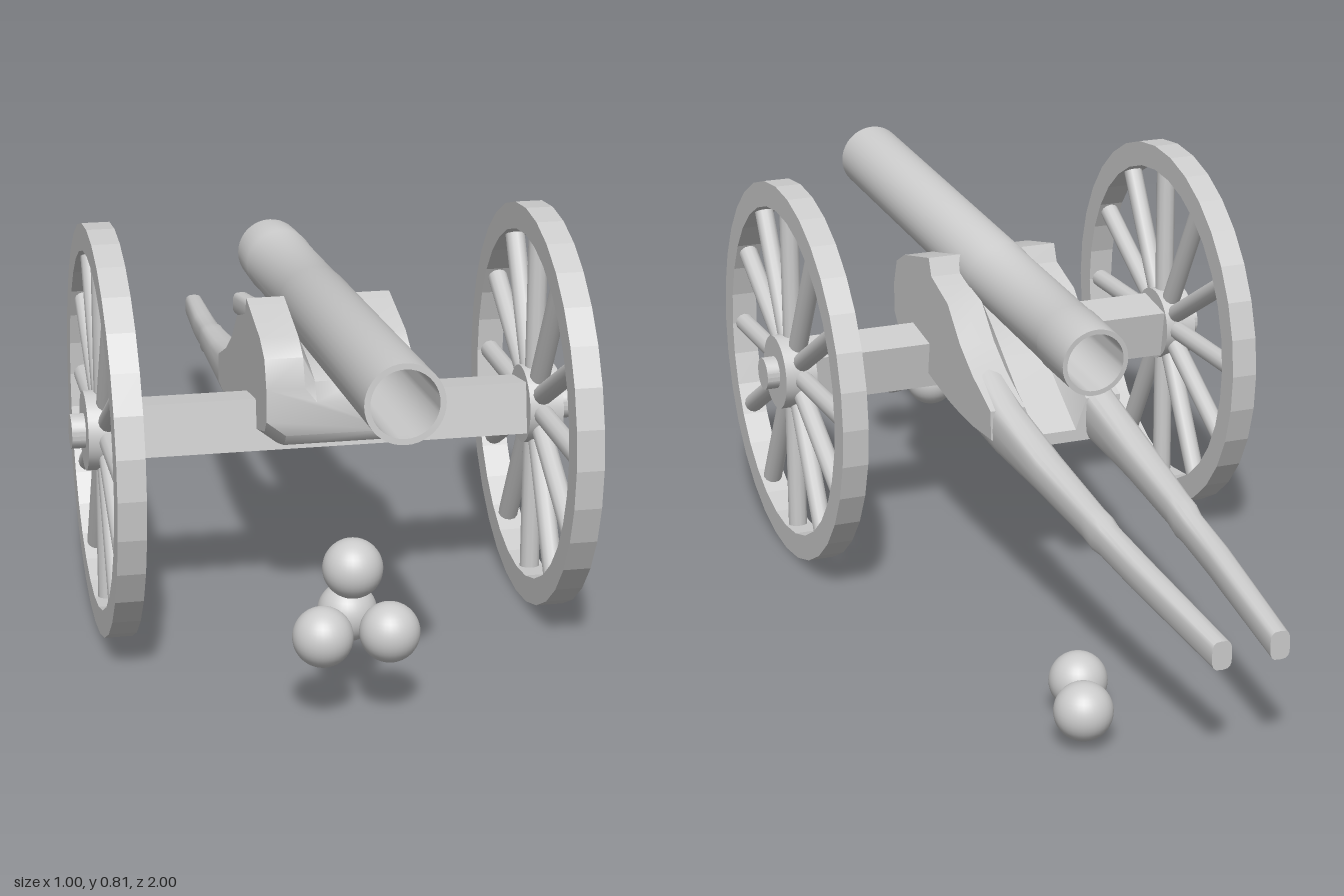
import * as THREE from 'three';
import { toCreasedNormals } from 'three/addons/utils/BufferGeometryUtils.js';

const grey = new THREE.MeshStandardMaterial({ color: 0xcccccc });
grey.name = 'grey';

function add(parent, name, geometry, x = 0, y = 0, z = 0) {
  const mesh = new THREE.Mesh(geometry, grey);
  mesh.name = name;
  mesh.position.set(x, y, z);
  parent.add(mesh);
  return mesh;
}

// Revolved closed outline, given as [radius, height] pairs
function turned(points, sides, crease) {
  const outline = [...points, points[0]].map(([r, h]) => new THREE.Vector2(r, h));
  return toCreasedNormals(new THREE.LatheGeometry(outline, sides), crease);
}

// Skin over cross-sections listed from front to back, each {z, ring: [[x, y], ...]}
function loft(sections, crease) {
  const n = sections[0].ring.length;
  const positions = [];
  const index = [];
  for (const { z, ring } of sections) for (const [x, y] of ring) positions.push(x, y, z);
  for (let i = 0; i < sections.length - 1; i++) {
    for (let j = 0; j < n; j++) {
      const a = i * n + j;
      const b = i * n + (j + 1) % n;
      index.push(a, a + n, b, b, a + n, b + n);
    }
  }
  const cap = (s) => THREE.ShapeUtils.triangulateShape(
    sections[s].ring.map(([x, y]) => new THREE.Vector2(x, y)), []);
  const last = sections.length - 1;
  for (const [a, b, c] of cap(0)) index.push(a, b, c);
  for (const [a, b, c] of cap(last)) index.push(last * n + a, last * n + c, last * n + b);
  const geometry = new THREE.BufferGeometry();
  geometry.setAttribute('position', new THREE.Float32BufferAttribute(positions, 3));
  geometry.setIndex(index);
  return toCreasedNormals(geometry, crease);
}

// Spoked wheel, hub facing outwards along +y before it is turned
function makeWheel(side) {
  const wheel = new THREE.Group();
  wheel.name = side > 0 ? 'leftWheel' : 'rightWheel';
  add(wheel, 'rim', turned([[0.403, -0.027], [0.403, 0.027], [0.35, 0.027], [0.35, -0.027]], 32, 0.1));
  add(wheel, 'hub', toCreasedNormals(new THREE.CylinderGeometry(0.078, 0.078, 0.068, 32), 0.5), 0, 0.006);
  add(wheel, 'axleCap', toCreasedNormals(new THREE.CylinderGeometry(0.034, 0.034, 0.06, 24), 0.5), 0, 0.037);
  const spokeGeometry = new THREE.CylinderGeometry(0.02, 0.02, 0.31, 12);
  for (let i = 0; i < 12; i++) {
    const angle = (i * Math.PI) / 6;
    const spoke = add(wheel, 'spoke', spokeGeometry, Math.cos(angle) * 0.21, 0, Math.sin(angle) * 0.21);
    spoke.rotation.set(Math.PI / 2, 0, angle - Math.PI / 2);
  }
  wheel.rotation.z = (-side * Math.PI) / 2;
  wheel.position.set(side * 0.431, 0.406, 0.313);
  return wheel;
}

export function createModel() {
  const model = new THREE.Group();
  model.name = 'fieldCannon';

  // Open barrel with a raised muzzle
  const barrel = add(model, 'barrel', turned([
    [0.07, -0.657], [0.072, -0.53], [0.07, -0.525], [0.07, -0.16], [0.072, -0.155],
    [0.073, 0.657], [0.062, 0.657], [0.06, -0.657],
  ], 40, 0.5), 0.01, 0.613, 0.34);
  barrel.rotation.x = Math.PI / 2 - 0.073;

  // Wheels and the tilted axle beam
  model.add(makeWheel(1), makeWheel(-1));
  const axle = add(model, 'axle', new THREE.BoxGeometry(0.82, 0.103, 0.103), 0, 0.404, 0.31);
  axle.rotation.x = -0.165;

  // Carriage body: two cheeks with a cradle between them: [z, bottom, cheek top, cradle]
  const body = [
    [0.47, 0.425, 0.52, 0.49], [0.45, 0.4, 0.575, 0.525], [0.4, 0.385, 0.602, 0.54],
    [0.25, 0.345, 0.637, 0.535], [0.235, 0.342, 0.6, 0.53], [0.14, 0.325, 0.568, 0.51],
    [0.07, 0.318, 0.5, 0.46], [0, 0.315, 0.455, 0.41], [-0.1, 0.32, 0.41, 0.345],
  ].map(([z, bottom, top, cradle]) => {
    const half = [[0.105, bottom], [0.143, bottom + 0.03], [0.143, top], [0.068, top], [0.045, cradle]];
    const mirrored = half.map(([x, y]) => [-x, y]).reverse();
    return { z, ring: [...half, ...mirrored].map(([x, y]) => [x + 0.0035, y]) };
  });
  add(model, 'carriageBody', loft(body, 0.75));

  // Twin tapering trails: [z, centre x, half width, centre y, half height]
  const trail = [
    [0.06, 0.104, 0.038, 0.405, 0.075], [-0.1, 0.103, 0.036, 0.367, 0.053],
    [-0.3, 0.098, 0.033, 0.34, 0.037], [-0.5, 0.09, 0.027, 0.31, 0.032],
    [-0.54, 0.088, 0.027, 0.302, 0.035], [-0.57, 0.086, 0.024, 0.297, 0.031],
    [-0.7, 0.08, 0.024, 0.28, 0.03], [-1, 0.058, 0.02, 0.238, 0.028],
  ];
  const squash = (v) => Math.sign(v) * Math.abs(v) ** 0.6;
  for (const side of [1, -1]) {
    const sections = trail.map(([z, cx, w, cy, h]) => ({
      z,
      ring: Array.from({ length: 16 }, (_, i) => {
        const a = (i * Math.PI) / 8;
        return [0.0035 + side * cx + w * squash(Math.cos(a)), cy + h * squash(Math.sin(a))];
      }),
    }));
    add(model, side > 0 ? 'leftTrail' : 'rightTrail', loft(sections, 0.75));
  }

  // Cannonballs: a small pile in front and a loose pair behind
  const ball = new THREE.SphereGeometry(0.056, 32, 20);
  for (const [x, y, z] of [
    [-0.107, 0.178, 0.862], [0.017, 0.178, 0.862], [-0.04, 0.178, 0.755], [-0.04, 0.283, 0.802],
    [0.2, 0.074, -0.675], [0.243, 0.074, -0.8],
  ]) add(model, 'cannonball', ball, x, y, z);

  return model;
}
